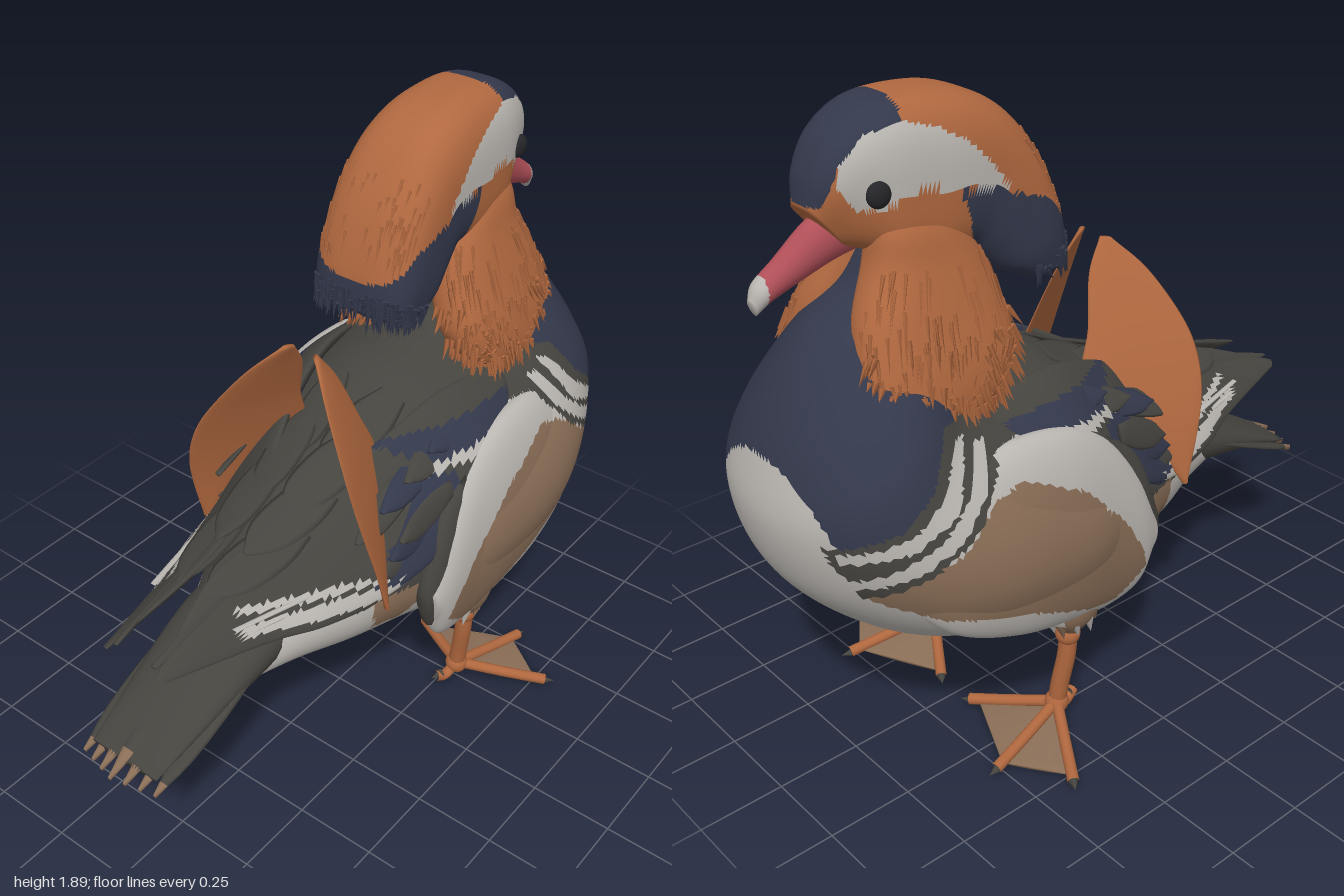
import * as THREE from 'three';
import { mergeGeometries } from 'three/addons/utils/BufferGeometryUtils.js';

const V = (x, y, z) => new THREE.Vector3(x, y, z);
const mat = (name, color) => Object.assign(new THREE.MeshStandardMaterial({ color }), { name });

export function createModel() {
  const root = new THREE.Group();
  root.name = 'duck';
  const orange = mat('orange', 0xb0683f), navy = mat('navy', 0x33384b), dark = mat('dark grey', 0x46443f);
  const light = mat('light grey', 0xbab6b1), tan = mat('tan', 0x8a6e57), pink = mat('bill pink', 0xb04f58);
  const black = mat('eye black', 0x26262a);

  let seed = 7;
  const rnd = (a, b) => { seed = (seed * 16807) % 2147483647; return a + (b - a) * seed / 2147483647; };

  // point in polygon, side profile (z, y)
  const inside = (poly, z, y) => {
    let hit = false;
    for (let i = 0, j = poly.length - 1; i < poly.length; j = i++) {
      const [a, b] = poly[i], [c, d] = poly[j];
      if ((b > y) !== (d > y) && z < (c - a) * (y - b) / (d - b) + a) hit = !hit;
    }
    return hit;
  };

  // Smooth loft; section = [topZ, topY, bottomZ, bottomY, half thickness, topX, bottomX].
  // paint is a material, or a list of [material, side polygon], first match wins; skew widens the bottom.
  function loft(name, secs, paint, { dir = V(1, 0, 0), e = 1, skew = 0, n = 20, m = 5, both = false } = {}) {
    const curve = f => new THREE.CatmullRomCurve3(secs.map(f), false, 'catmullrom', 0.5);
    const top = curve(s => V(s[5] ?? 0, s[1], s[0]));
    const bot = curve(s => V(s[6] ?? s[5] ?? 0, s[3], s[2]));
    const wid = curve((s, i) => V(s[4], i, 0));
    const pw = v => Math.sign(v) * Math.abs(v) ** e;
    const surf = (u, a) => {
      const t = top.getPoint(u), b = bot.getPoint(u), w = wid.getPoint(u).x;
      return t.clone().add(b).multiplyScalar(0.5).addScaledVector(t.sub(b), 0.5 * pw(Math.cos(a)))
        .addScaledVector(dir, w * pw(Math.sin(a)) * (1 - skew * Math.cos(a)));
    };
    const rows = (secs.length - 1) * m, pts = [], tris = [];
    for (let i = 0; i <= rows; i++)
      for (let j = 0; j < n; j++) pts.push(surf(i / rows, j / n * Math.PI * 2));
    for (const u of [0, 1]) pts.push(top.getPoint(u).add(bot.getPoint(u)).multiplyScalar(0.5));
    const c0 = (rows + 1) * n;
    for (let j = 0; j < n; j++) {
      const k = (j + 1) % n;
      for (let i = 0; i < rows; i++) {
        const a = i * n + j, b = i * n + k;
        tris.push([a, b, a + n], [b, b + n, a + n]);
      }
      tris.push([c0, k, j], [c0 + 1, rows * n + j, rows * n + k]);
    }
    // face outwards: sign of the enclosed volume
    const rel = pts.map(p => p.clone().sub(pts[0]));
    const vol = tris.reduce((sum, [a, b, c]) => sum + rel[a].dot(rel[b].clone().cross(rel[c])), 0);
    const list = Array.isArray(paint) ? paint : [[paint]];
    const bins = list.map(() => []);
    for (const t of tris) {
      const z = (pts[t[0]].z + pts[t[1]].z + pts[t[2]].z) / 3, y = (pts[t[0]].y + pts[t[1]].y + pts[t[2]].y) / 3;
      bins[list.findIndex(p => !p[1] || inside(p[1], z, y))].push(t);
    }
    for (const s of both ? [1, -1] : [1]) {
      const geo = new THREE.BufferGeometry().setFromPoints(pts.map(p => V(p.x * s, p.y, p.z)));
      const index = [];
      bins.forEach((bin, g) => {
        geo.addGroup(index.length, bin.length * 3, g);
        for (const [a, b, c] of bin) index.push(...(vol * s > 0 ? [a, b, c] : [a, c, b]));
      });
      geo.setIndex(index);
      geo.computeVertexNormals();
      const mesh = new THREE.Mesh(geo, list.length > 1 ? list.map(p => p[0]) : list[0][0]);
      mesh.name = both ? (s > 0 ? 'left ' : 'right ') + name : name;
      root.add(mesh);
    }
    return surf;
  }

  // Flat pointed feather from p to q; off = half width vector, dir = thickness vector
  function feather(name, paint, p, q, off, dir, both = true) {
    const secs = [[0, 0.6], [0.35, 1], [0.75, 0.85], [1, 0.08]].map(([k, w]) => {
      const c = p.clone().lerp(q, k), t = c.clone().addScaledVector(off, w), b = c.addScaledVector(off, -w);
      return [t.z, t.y, b.z, b.y, 0.009, t.x, b.x];
    });
    loft(name, secs, paint, { dir, n: 10, m: 3, both });
  }

  const spike = (p, q, r, sides = 4) => {
    const d = q.clone().sub(p), g = new THREE.ConeGeometry(r, d.length(), sides, 1);
    g.applyQuaternion(new THREE.Quaternion().setFromUnitVectors(V(0, 1, 0), d.clone().normalize()));
    return g.translate(...p.clone().lerp(q, 0.5).toArray());
  };
  const addMesh = (name, geo, material) => {
    const mesh = new THREE.Mesh(geo, material);
    mesh.name = name;
    root.add(mesh);
    return mesh;
  };

  // Plumage regions in side profile
  const flankPaint = [
    [light, [[-.56, 1.09], [-.6, 1.08], [-.68, .975], [-.78, .9], [-.92, .86], [-.92, .83], [-.78, .862], [-.65, .93]]],
    [light, [[-.5, 1.06], [-.54, 1.06], [-.6, .965], [-.7, .88], [-.8, .825], [-.9, .775], [-.9, .745], [-.79, .785], [-.66, .86], [-.56, .95]]],
    [dark, [[-.46, 1.12], [-.62, 1.12], [-.7, 1], [-.8, .92], [-.94, .87], [-.93, .83], [-.87, .72], [-.75, .78], [-.6, .88], [-.5, 1]]],
    [tan, [[-.02, .56], [-.1, .69], [-.25, .85], [-.45, .95], [-.55, .92], [-.66, .83], [-.88, .73], [-.7, .63], [-.45, .56], [-.2, .44], [-.1, .42], [0, .5]]],
  ];
  const bodyPaint = [...flankPaint,
    [navy, [[-.52, 1.7], [-.55, 1.12], [-.6, 1.06], [-.7, .97], [-.8, .88], [-.9, .82], [-.94, .93], [-.955, 1.04], [-1.05, 1.06], [-1.05, 1.5], [-.7, 1.7]]],
    [tan, [[.22, .65], [.2, .54], [.1, .52], [.03, .6], [.03, .65]]],
    [dark, [[.8, .6], [.4, .64], [.1, .63], [.04, .62], [-.05, .8], [-.2, .98], [-.35, 1.03], [-.5, 1.02], [-.5, 1.12], [-.53, 1.7], [0, 1.6], [.8, 1.2]]],
    [light]];

  // Body and neck
  loft('body', [
    [.64, .6, .64, .48, .1], [.42, .76, .42, .455, .19], [.2, .92, .25, .42, .28], [0, 1.05, .05, .38, .35],
    [-.15, 1.13, -.15, .355, .43], [-.3, 1.165, -.38, .36, .455], [-.38, 1.18, -.6, .41, .455], [-.43, 1.2, -.78, .51, .43],
    [-.45, 1.23, -.93, .67, .385], [-.45, 1.27, -.99, .86, .34], [-.44, 1.32, -.965, 1.02, .28], [-.42, 1.37, -.9, 1.17, .215],
    [-.4, 1.42, -.81, 1.3, .16], [-.4, 1.5, -.68, 1.42, .125], [-.42, 1.55, -.62, 1.52, .11],
  ], bodyPaint, { n: 140, m: 11, skew: .18 });

  // Flank panels overlapping the folded wings
  loft('flank', [
    [.06, .62, .04, .52, .03, .37, .37], [-.03, .82, 0, .42, .06, .36, .36], [-.15, .96, -.1, .38, .085, .345, .345],
    [-.3, 1.02, -.25, .41, .095, .34, .36], [-.5, 1.02, -.45, .46, .095, .33, .37], [-.65, .95, -.65, .55, .07, .33, .36],
    [-.8, .82, -.8, .7, .02, .32, .33],
  ], [...flankPaint, [light]], { n: 92, m: 12, both: true });
  loft('flank lining', [[.08, .63, .06, .53, .022, .36, .36], [0, .84, .025, .46, .05, .35, .35], [-.12, .95, -.06, .43, .065, .34, .34]],
    dark, { both: true });

  // Folded wings
  loft('wing', [
    [.88, .75, .86, .735, .008, .09, .11], [.6, .86, .56, .7, .03, .03, .195], [.4, .9, .4, .68, .04, .05, .26],
    [.2, .96, .2, .67, .045, .1, .31], [0, 1.06, 0, .75, .045, .17, .37], [-.2, 1.12, -.2, .9, .04, .21, .385], [-.45, 1.1, -.4, 1, .02, .24, .32],
  ], [
    [light, [[-.45, .99], [-.3, .985], [-.02, .955], [-.02, .98], [-.3, 1.01], [-.45, 1.02]]],
    [light, [[.12, .71], [.3, .76], [.6, .8], [.6, .785], [.3, .74]]],
    [light, [[.12, .69], [.3, .73], [.62, .765], [.62, .74], [.3, .69], [.15, .66]]],
    [navy, [[.06, 1.05], [-.2, 1.07], [-.42, 1.06], [-.4, 1], [0, .96], [.12, .82], [.24, .7], [.16, .66], [-.05, .75], [-.1, .95]]],
    [dark]], { n: 56, m: 8, both: true });
  for (let k = 0; k < 4; k++) {
    feather('flight feather', dark, V(.25 - k * .045, .72 + k * .05, .2), V(.13 - k * .02, .73 + k * .012, .64 + k * .075),
      V(-.015, .035, 0), V(1, 0, 0));
    feather('feather edge', light, V(.305 - k * .012, .685 + k * .022, .16), V(.185 - k * .012, .7 + k * .025, .55 + k * .03),
      V(0, .006, 0), V(1, 0, 0));
    feather('shoulder feather', k % 2 ? dark : navy, V(.28 - k * .008, 1.06 - k * .03, -.32 + k * .1), V(.28 - k * .008, 1.02 - k * .05, -.05 + k * .1),
      V(-.03, .035, 0), V(1, .3, 0));
    feather('wing covert', k % 2 ? navy : dark, V(.35 - k * .01, .92 - k * .06, -.06 + k * .03), V(.325 - k * .01, .84 - k * .05, .14 + k * .03),
      V(-.01, .045, 0), V(1, 0, 0));
    feather('back feather', dark, V(.1, 1.1 - k * .07, -.12 + k * .14), V(.05, .97 - k * .045, .16 + k * .16),
      V(.07, -.02, 0), V(0, 1, 0));
  }

  // Raised sail feathers, rear edges turned outwards
  const sx = (z, y) => { const d = 1.35 - y; return .04 + .62 * d - .35 * d * d + .55 * (z - .15); };
  loft('sail feather', [[.15, 1.35, .175, 1.348], [.09, 1.26, .24, 1.26], [.045, 1.12, .29, 1.13], [0, .985, .305, 1.03],
    [.08, .88, .295, .92], [.15, .78, .265, .8], [.215, .65, .225, .66]]
    .map(([a, b, c, d]) => [a, b, c, d, .01, sx(a, b), sx(c, d)]), orange, { n: 24, m: 6, both: true });

  // Tail fan with tan tips
  const tailPaint = [[tan, [[.935, 0], [1.1, 0], [1.1, 1], [.935, 1]]], [dark]];
  for (let k = -3; k <= 3; k++) {
    const a = Math.abs(k);
    feather('tail feather', tailPaint, V(k * .042, .69 - a * .025, .48), V(k * .044, .415 - a * .003, 1 - a * .012),
      V(.038, 0, 0), V(0, 1, 0.4), false);
  }
  loft('tail base', [[.94, .45, .94, .425, .12], [.75, .565, .75, .46, .145], [.55, .68, .55, .48, .165], [.4, .74, .4, .48, .165]],
    [[light, [[.3, .5], [.6, .49], [.6, .3], [.3, .3]]], [dark]], { n: 28 });

  // Head with swept-back crest
  const crest = loft('head and crest', [
    [-.045, 1.38, -.2, 1.345, .155], [-.055, 1.5, -.28, 1.38, .168], [-.12, 1.67, -.34, 1.43, .166], [-.22, 1.8, -.38, 1.46, .162],
    [-.33, 1.865, -.43, 1.45, .162], [-.45, 1.89, -.5, 1.42, .16], [-.6, 1.885, -.58, 1.45, .15], [-.71, 1.83, -.62, 1.5, .125],
    [-.775, 1.74, -.65, 1.52, .095], [-.795, 1.65, -.7, 1.54, .06],
  ], [
    [light, [[-.27, 1.61], [-.33, 1.7], [-.4, 1.77], [-.48, 1.815], [-.57, 1.845], [-.67, 1.825], [-.735, 1.76], [-.745, 1.71], [-.7, 1.645], [-.63, 1.65], [-.55, 1.68], [-.42, 1.655], [-.33, 1.635]]],
    [navy, [[-.55, 1.95], [-.57, 1.845], [-.67, 1.825], [-.735, 1.76], [-.775, 1.66], [-.9, 1.66], [-.9, 1.95]]],
    [navy, [[.1, 1.2], [.1, 1.46], [-.05, 1.475], [-.15, 1.57], [-.27, 1.61], [-.33, 1.635], [-.43, 1.65], [-.38, 1.5], [-.36, 1.2]]],
    [orange]], { n: 104, m: 10, e: .66 });

  // Cheek ruffs
  const ruff = loft('ruff', [
    [-.62, 1.65, -.45, 1.65, .05, .06], [-.65, 1.58, -.41, 1.57, .08, .08], [-.67, 1.49, -.35, 1.48, .095, .09],
    [-.735, 1.36, -.31, 1.36, .1, .125], [-.76, 1.22, -.3, 1.24, .1, .165], [-.735, 1.12, -.36, 1.14, .08, .195],
    [-.64, 1.08, -.45, 1.09, .03, .215],
  ], orange, { n: 32, m: 6, e: .8, both: true });

  // Fine feather strands on crest and ruffs
  const crestStrands = [], crestFringe = [], ruffStrands = [];
  for (let i = 0; i < 140; i++) {
    const a = rnd(-1, 1), u = rnd(.14, .3);
    if (i % 2) crestStrands.push(spike(crest(u, a), crest(u - rnd(.05, .1), a), .005));
    const f = rnd(-1.9, 1.9), p = crest(rnd(.01, .07), f);
    crestFringe.push(spike(p, V(p.x, rnd(1.325, 1.37), p.z + rnd(-.01, .02)), .01));
    const b = rnd(.1, 3.05), v = rnd(.32, .85);
    ruffStrands.push(spike(ruff(v, b), ruff(v + rnd(.1, .17), b), .006));
    const c = rnd(-.4, 3.5), s = ruff(rnd(.55, .93), c), d = s.clone().sub(V(.12, 1.6, -.53)).normalize();
    ruffStrands.push(spike(s, s.clone().addScaledVector(d, rnd(.04, .075)), .011));
  }
  addMesh('crest strands', mergeGeometries(crestStrands), orange);
  addMesh('crest fringe', mergeGeometries(crestFringe), navy);
  for (const s of [1, -1]) addMesh((s > 0 ? 'left ' : 'right ') + 'ruff strands', mergeGeometries(ruffStrands), orange).scale.x = s;

  // Bill with pale nail
  loft('bill', [[-.68, 1.645, -.62, 1.52, .055], [-.77, 1.615, -.72, 1.5, .048], [-.87, 1.54, -.83, 1.465, .038],
    [-.93, 1.495, -.9, 1.44, .034], [-.95, 1.455, -.935, 1.415, .016]],
    [[light, [[-.912, 1.3], [-1.1, 1.3], [-1.1, 1.6], [-.912, 1.6]]], [pink]], { n: 24, m: 8 });

  for (const s of [1, -1]) {
    const side = s > 0 ? 'left ' : 'right ';
    const eye = addMesh(side + 'eye', new THREE.SphereGeometry(.034, 20, 14), black);
    eye.position.set(s * .132, 1.685, -.655);
    eye.scale.x = .6;

    // Leg, joints and toes
    const ankle = V(s * .295, .075, -.24), hip = V(s * .325, .36, -.22);
    const tube = (name, pts, r) =>
      addMesh(side + name, new THREE.TubeGeometry(new THREE.CatmullRomCurve3(pts), 12, r, 10), orange);
    tube('leg', [hip, V(s * .32, .25, -.225), V(s * .305, .15, -.235), ankle], .027);
    for (const [p, r] of [[V(s * .322, .325, -.222), .037], [ankle, .036]])
      addMesh(side + 'leg joint', new THREE.SphereGeometry(r, 14, 10), orange).position.copy(p);
    const tips = [V(s * .555, .02, -.405), V(s * .36, .02, -.54), V(s * .055, .02, -.395), V(s * .27, .06, -.15)];
    for (const tip of tips) {
      const knuckle = ankle.clone().lerp(tip, .5).setY(.045);
      tube('toe', [ankle, knuckle, tip.clone().lerp(ankle, .06)], .017);
      const out = tip.clone().sub(ankle).setY(0).normalize();
      addMesh(side + 'claw', spike(tip.clone().addScaledVector(out, -.03), tip.clone().addScaledVector(out, .012), .015, 8), dark);
    }
    // Webs between the front toes
    for (let k = 0; k < 2; k++)
      loft(side + 'web', [.05, .35, .65, .84].map(f => {
        const [a, b] = [tips[k], tips[k + 1]].map(t => ankle.clone().lerp(t, f).setY(.055 - .04 * f));
        return [a.z, a.y, b.z, b.y, .005, a.x, b.x];
      }), tan, { dir: V(0, 1, 0), n: 10, m: 2 });

    // Thigh with ragged lower edge
    loft(side + 'thigh', [[-.34, .52, -.08, .52, .07, s * .33], [-.31, .41, -.12, .41, .065, s * .33], [-.25, .345, -.19, .345, .035, s * .325]],
      [[tan, [[-.3, .3], [-.16, .3], [-.1, .6], [-.25, .6]]], [light]], { n: 24 });
    for (let k = 0; k < 9; k++) {
      const a = k / 9 * Math.PI * 2, p = V(s * .327 + Math.cos(a) * .045, .4, -.215 + Math.sin(a) * .07);
      addMesh(side + 'thigh tuft', spike(p, V(p.x, rnd(.33, .355), p.z + .015), .02, 8), k % 3 ? light : tan);
    }
  }
  return root;
}
